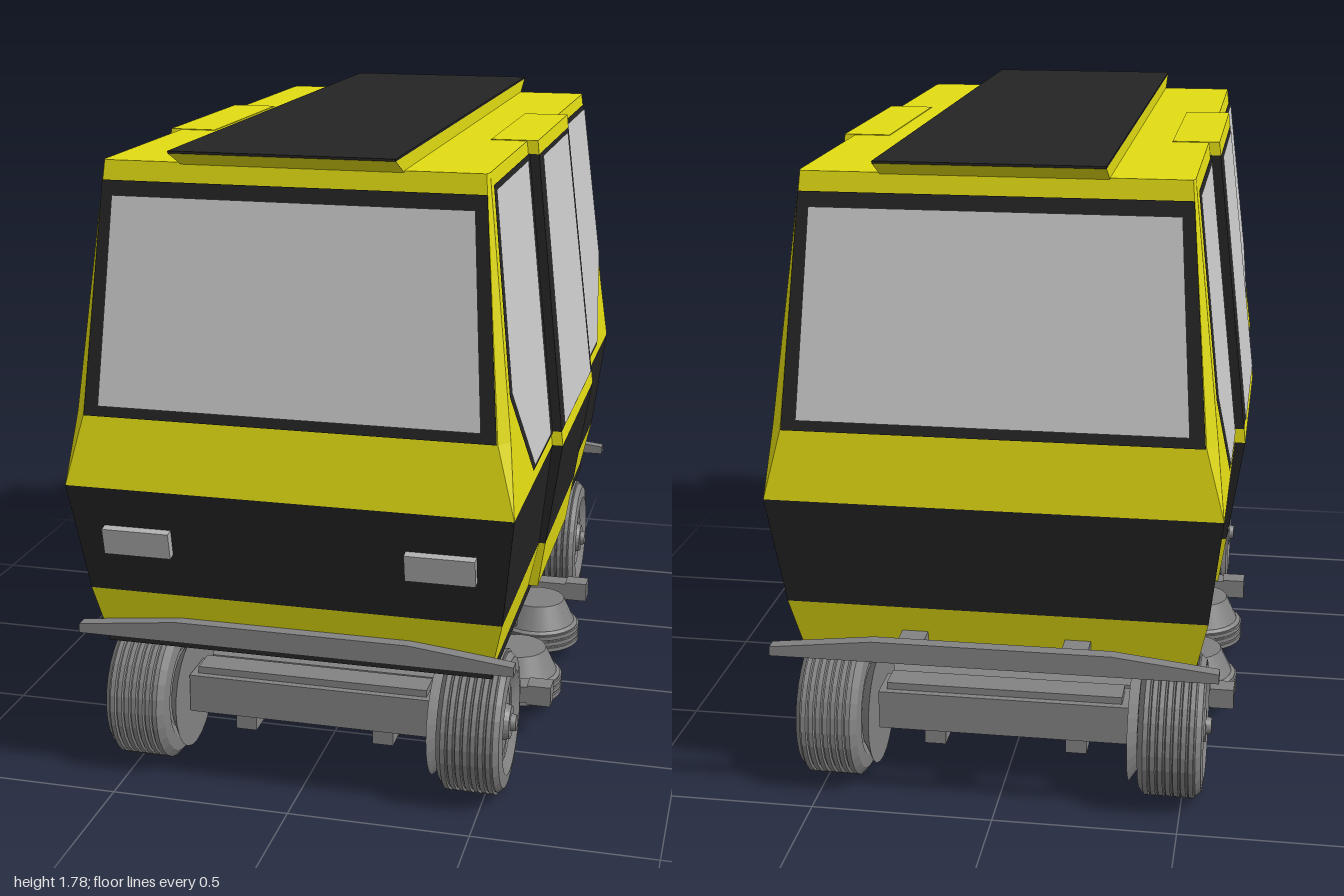
import * as THREE from 'three';

const mat = (color) => new THREE.MeshStandardMaterial({ color, flatShading: true, side: THREE.DoubleSide });
const yellow = mat(0xe2dc12), black = mat(0x242424), glass = mat(0xcccccc), grey = mat(0x828282), lamp = mat(0xb0b0b0);
const smoothGrey = new THREE.MeshStandardMaterial({ color: 0x808080 });

function add(parent, name, geometry, material, x = 0, y = 0, z = 0) {
  const mesh = new THREE.Mesh(geometry, material);
  mesh.name = name;
  mesh.position.set(x, y, z);
  parent.add(mesh);
  return mesh;
}

const box = (parent, name, w, h, d, x, y, z, m = grey) => add(parent, name, new THREE.BoxGeometry(w, h, d), m, x, y, z);

function fromTriangles(points) {
  const g = new THREE.BufferGeometry();
  g.setAttribute('position', new THREE.Float32BufferAttribute(points.flat(), 3));
  g.computeVertexNormals();
  return g;
}

// Convex flat polygon
function polygon(pts) {
  const t = [];
  for (let i = 1; i < pts.length - 1; i++) t.push(pts[0], pts[i], pts[i + 1]);
  return fromTriangles(t);
}

// Walls through stacked rings, optionally closed at both ends
function loft(rings, capped = true) {
  const t = [], n = rings[0].length;
  for (let r = 0; r < rings.length - 1; r++) {
    for (let i = 0; i < n; i++) {
      const j = (i + 1) % n, a = rings[r][i], b = rings[r][j], c = rings[r + 1][j], d = rings[r + 1][i];
      t.push(a, b, c, a, c, d);
    }
  }
  if (capped) {
    const top = rings[rings.length - 1], low = rings[0];
    for (let i = 1; i < n - 1; i++) t.push(top[0], top[i], top[i + 1], low[0], low[i + 1], low[i]);
  }
  return fromTriangles(t);
}

const rect = (x0, x1, y, z0, z1) => [[x1, y, z1], [x1, y, z0], [x0, y, z0], [x0, y, z1]];
const lerp = THREE.MathUtils.lerp;

// Body ring: side half-width, end half-width, front z, rear z, chamfer depth
function bodyRing(y, xs, xe, zf, zr, c) {
  return [[xs, y, zf - c], [xs, y, c - zr], [xe, y, -zr], [-xe, y, -zr],
    [-xs, y, c - zr], [-xs, y, zf - c], [-xe, y, zf], [xe, y, zf]];
}

function buildBody(g) {
  const sill = bodyRing(0.44, 0.535, 0.535, 0.905, 0.89, 0);
  const belt0 = bodyRing(0.58, 0.565, 0.565, 0.935, 0.925, 0);
  const belt1 = bodyRing(0.89, 0.6, 0.6, 0.995, 0.985, 0);
  const waist = bodyRing(1.08, 0.578, 0.55, 0.97, 0.973, 0.03);
  const roof = bodyRing(1.74, 0.5, 0.495, 0.885, 0.882, 0.02);
  add(g, 'lowerSkirt', loft([sill, belt0], false), yellow);
  add(g, 'blackBelt', loft([belt0, belt1], false), black);
  add(g, 'upperCabin', loft([belt1, waist, roof]), yellow);
  box(g, 'floorSlab', 1.07, 0.03, 1.79, 0, 0.428, 0.005, black);

  // Roof panel with flared ends
  add(g, 'roofRiser', loft([rect(-0.29, 0.29, 1.735, -0.88, 0.885), rect(-0.29, 0.29, 1.776, -0.963, 0.978)]), yellow);
  box(g, 'roofPanel', 0.58, 0.006, 1.941, 0, 1.779, 0.0075, black);
}

// Windscreens, framed
function buildEndWindow(g, name, s, zLow, zHigh) {
  const at = (x, y, off) => [x, y, s * (lerp(zLow, zHigh, (y - 1.08) / 0.66) + off)];
  const quad = (x0, y0, x1, y1, off) =>
    polygon([at(-x0 * s, y0, off), at(x0 * s, y0, off), at(x1 * s, y1, off), at(-x1 * s, y1, off)]);
  add(g, name + 'Frame', quad(0.548, 1.08, 0.5, 1.69, 0.004), black);
  add(g, name + 'Glass', quad(0.507, 1.108, 0.472, 1.652, 0.008), glass);
}

// One side: two cut-corner windows and a projecting door
function buildSide(g) {
  const sideX = (y) => lerp(0.6, 0.5, (y - 0.89) / 0.85);
  const onSide = (pts, s, off) => polygon((s > 0 ? pts : [...pts].reverse()).map(([z, y]) => [sideX(y) + off, y, z * s]));
  const frame = [[0.32, 0.925], [0.69, 0.925], [0.916, 1.19], [0.854, 1.708], [0.28, 1.708]].reverse();
  const pane = [[0.393, 0.938], [0.68, 0.938], [0.902, 1.196], [0.842, 1.695], [0.347, 1.695]].reverse();
  for (const s of [1, -1]) {
    add(g, 'sideWindowFrame', onSide(frame, s, 0.004), black);
    add(g, 'sideWindowGlass', onSide(pane, s, 0.008), glass);
  }

  const doorRing = (y) => {
    const k = (y - 0.89) / 0.85, m = (y - 0.44) / 0.45;
    return y > 0.89 ? rect(0.4, lerp(0.63, 0.53, k), y, -lerp(0.34, 0.29, k), lerp(0.345, 0.295, k))
      : rect(0.4, lerp(0.563, 0.63, m), y, -lerp(0.295, 0.34, m), lerp(0.3, 0.345, m));
  };
  const levels = [0.44, 0.58, 0.89, 0.93, 1.705, 1.742];
  const names = ['doorSkirt', 'doorBelt', 'doorSill', 'doorFrame', 'doorHeader'];
  names.forEach((name, i) =>
    add(g, name, loft([doorRing(levels[i]), doorRing(levels[i + 1])]), i % 2 ? black : yellow));
  const doorX = (y) => lerp(0.63, 0.53, (y - 0.89) / 0.85) + 0.004;
  add(g, 'doorGlass', polygon([[0.298, 0.938], [-0.294, 0.938], [-0.246, 1.695], [0.25, 1.695]]
    .map(([z, y]) => [doorX(y), y, z])), glass);
}

// Ribbed tyre as a lathe around y
function tyreGeometry(radius, width, ribs, inner) {
  const h = width / 2, pts = [[inner, -h * 0.8], [radius * 0.72, -h], [radius * 0.9, -h * 0.95]];
  for (let i = 0; i < ribs; i++) {
    const y0 = lerp(-h * 0.8, h * 0.8, i / ribs), step = (1.6 * h) / ribs;
    pts.push([radius, y0 + step * 0.1], [radius, y0 + step * 0.72], [radius * 0.965, y0 + step * 0.76], [radius * 0.965, y0 + step * 0.96]);
  }
  pts.push([radius * 0.9, h * 0.95], [radius * 0.72, h], [inner, h * 0.8]);
  return new THREE.LatheGeometry(pts.map(([x, y]) => new THREE.Vector2(x, y)), 28);
}

function buildRoadWheel(parent, z) {
  const wheel = new THREE.Group();
  wheel.name = 'roadWheel';
  wheel.position.set(0.47, 0.203, z);
  wheel.rotation.z = -Math.PI / 2;
  parent.add(wheel);
  const disc = (name, r0, r1, h, y) => add(wheel, name, new THREE.CylinderGeometry(r0, r1, h, 24), grey, 0, y, 0);
  add(wheel, 'tyre', tyreGeometry(0.2, 0.18, 7, 0.11), grey);
  disc('wheelRim', 0.115, 0.115, 0.13, 0);
  disc('hub', 0.045, 0.055, 0.03, 0.075);
  disc('hubCap', 0.022, 0.025, 0.02, 0.095);
  disc('brakeDrum', 0.12, 0.165, 0.03, -0.1);
}

function buildRunningGear(g) {
  for (const sx of [1, -1]) {
    const half = new THREE.Group();
    half.name = sx > 0 ? 'leftRunningGear' : 'rightRunningGear';
    half.scale.x = sx;
    g.add(half);
    buildRoadWheel(half, 0.716);
    buildRoadWheel(half, -0.755);
    box(half, 'chassisRail', 0.06, 0.065, 1.5, 0.2, 0.13, -0.02);

    // Guide wheels below their uprights
    for (const z of [0.175, -0.22]) {
      add(half, 'guideTyre', tyreGeometry(0.135, 0.075, 3, 0.05), grey, 0.49, 0.08, z);
      add(half, 'guideHub', new THREE.CylinderGeometry(0.05, 0.05, 0.06, 20), smoothGrey, 0.49, 0.08, z);
      add(half, 'guideCap', new THREE.CylinderGeometry(0.085, 0.12, 0.075, 24), smoothGrey, 0.49, 0.15, z);
    }
    for (const z of [0.197, -0.243]) {
      add(half, 'upright', loft([rect(0.24, 0.44, 0.13, z - 0.147, z + 0.147), rect(0.24, 0.44, 0.34, z - 0.147, z + 0.147),
        rect(0.24, 0.36, 0.415, z - 0.147, z + 0.147)]), grey);
    }
    // Outer guide beam with end blocks
    box(half, 'guideBeam', 0.07, 0.055, 1.04, 0.38, 0.13, -0.02);
    for (const z of [0.38, -0.435]) box(half, 'beamEnd', 0.07, 0.06, 0.06, 0.59, 0.14, z);
  }
  for (const z of [0.716, -0.755]) {
    box(g, 'axleBeam', 0.7, 0.11, 0.12, 0, 0.215, z);
    box(g, 'axleTop', 0.66, 0.02, 0.08, 0, 0.28, z);
  }
  for (const z of [0.38, -0.435]) box(g, 'crossBar', 1.2, 0.05, 0.06, 0, 0.14, z);
  box(g, 'centrePlate', 0.64, 0.05, 0.62, 0, 0.15, -0.02);
  box(g, 'centreColumn', 0.08, 0.26, 0.12, 0, 0.29, -0.02);
}

function buildBumper(g, name, z, mountZ, mountDepth) {
  const shape = new THREE.Shape([[-0.6, 0.45], [0.6, 0.45], [0.6, 0.476], [0.32, 0.508], [-0.32, 0.508], [-0.6, 0.476]]
    .map(([x, y]) => new THREE.Vector2(x, y)));
  add(g, name, new THREE.ExtrudeGeometry(shape, { depth: 0.036, bevelEnabled: false }), grey, 0, 0, z);
  for (const x of [-0.22, 0.22]) box(g, name + 'Mount', 0.07, 0.06, mountDepth, x, 0.475, mountZ);
}

export function createModel() {
  const model = new THREE.Group();
  model.name = 'peopleMover';
  buildBody(model);
  buildEndWindow(model, 'frontWindow', 1, 0.97, 0.885);
  buildEndWindow(model, 'rearWindow', -1, 0.973, 0.882);
  for (const s of [1, -1]) {
    const side = new THREE.Group();
    side.name = s > 0 ? 'leftSide' : 'rightSide';
    side.scale.x = s;
    model.add(side);
    buildSide(side);
    // Headlights follow the slope of the nose
    box(model, 'headlight', 0.185, 0.075, 0.025, s * 0.41, 0.74, 0.977, lamp).rotation.x = 0.19;
  }
  buildBumper(model, 'frontBumper', 0.917, 0.9, 0.06);
  buildBumper(model, 'rearBumper', -1.0, -0.925, 0.09);
  buildRunningGear(model);
  return model;
}
